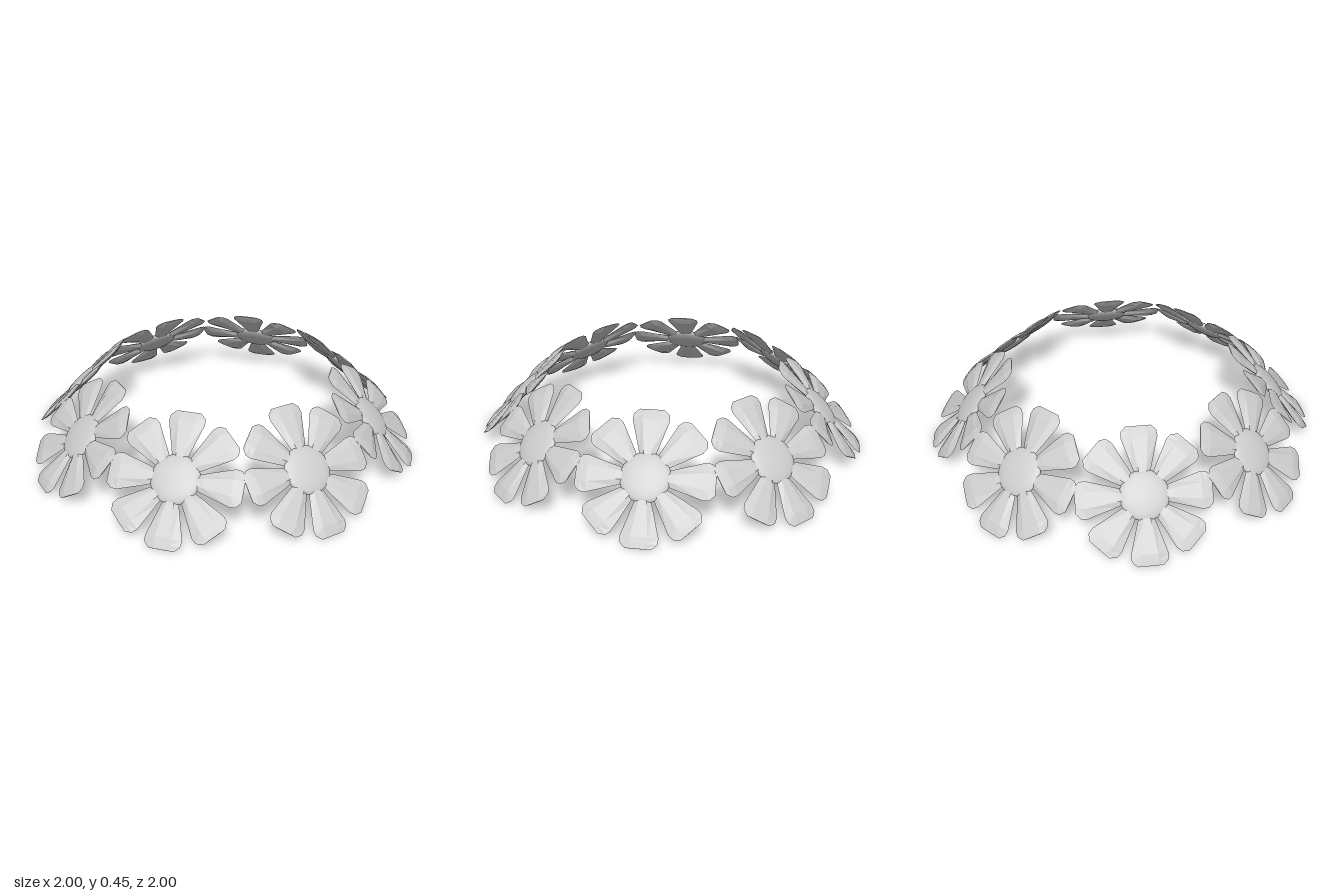
import * as THREE from 'three';

const material = new THREE.MeshStandardMaterial({ color: 0xcccccc, flatShading: true });
const smooth = new THREE.MeshStandardMaterial({ color: 0xcccccc });

// Petal along +y: lens-like hexagonal sections with a flat middle strip
function petalGeometry() {
  const stations = [ // distance from centre, half width, half thickness
    [0.06, 0.022, 0.008],
    [0.13, 0.045, 0.012],
    [0.262, 0.085, 0.012],
    [0.29, 0.082, 0.007],
    [0.313, 0.058, 0.002],
  ];
  const section = [[1, 0], [0.45, 1], [-0.45, 1], [-1, 0], [-0.45, -1], [0.45, -1]];
  const n = section.length;
  const positions = [];
  const index = [];
  for (const [r, w, t] of stations)
    for (const [u, v] of section) positions.push(u * w, r, v * t);
  for (let s = 0; s < stations.length - 1; s++)
    for (let i = 0; i < n; i++) {
      const a = s * n + i, b = s * n + (i + 1) % n;
      index.push(a, a + n, b, b, a + n, b + n);
    }
  // End caps
  const last = (stations.length - 1) * n;
  for (let i = 1; i < n - 1; i++) {
    index.push(0, i, i + 1);
    index.push(last, last + i + 1, last + i);
  }
  const g = new THREE.BufferGeometry();
  g.setAttribute('position', new THREE.Float32BufferAttribute(positions, 3));
  g.setIndex(index);
  const flat = g.toNonIndexed();
  flat.computeVertexNormals();
  return flat;
}

export function createModel() {
  const model = new THREE.Group();
  model.name = 'flowerWreath';
  const petalGeo = petalGeometry();
  // Flattened dome, rounded on both sides
  const coreGeo = new THREE.SphereGeometry(0.115, 32, 16).rotateX(Math.PI / 2).scale(1, 1, 0.22);

  for (let f = 0; f < 8; f++) {
    const angle = f * Math.PI / 4;
    const flower = new THREE.Group();
    flower.name = 'flower' + (f + 1);

    for (let p = 0; p < 8; p++) {
      const petal = new THREE.Mesh(petalGeo, material);
      petal.name = 'petal' + (p + 1);
      petal.rotation.z = p * Math.PI / 4;
      flower.add(petal);
    }
    const core = new THREE.Mesh(coreGeo, smooth);
    core.name = 'flowerCentre';
    flower.add(core);

    // Each flower leans back, facing outward and up
    flower.rotation.set(-Math.PI / 4, angle, 0, 'YXZ');
    flower.position.set(0.778 * Math.sin(angle), 0.223, 0.778 * Math.cos(angle));
    model.add(flower);
  }
  return model;
}
